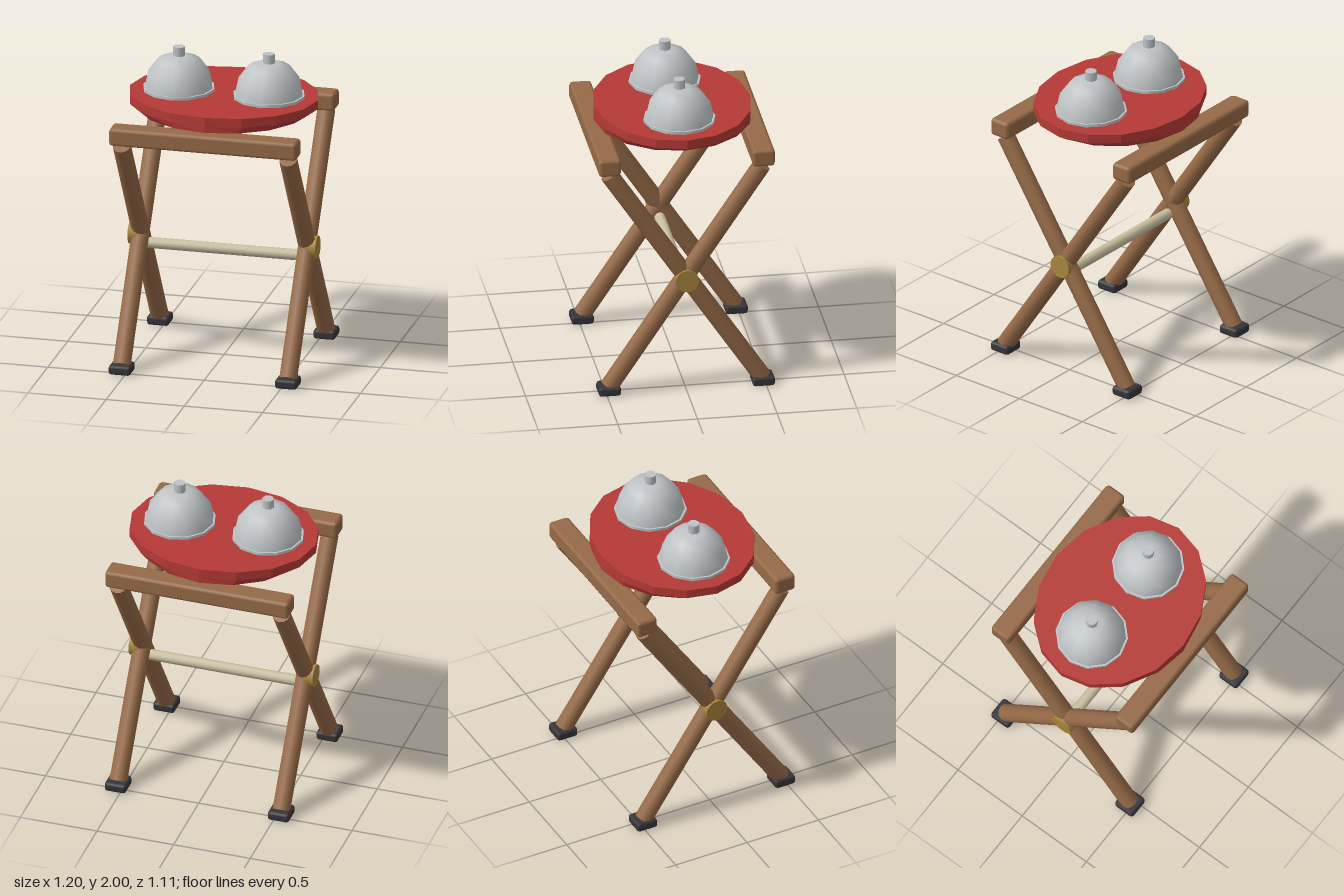
import * as THREE from 'three';
import { RoundedBoxGeometry } from 'three/addons/geometries/RoundedBoxGeometry.js';

const material = (name, color) => {
  const m = new THREE.MeshStandardMaterial({ color });
  m.name = name;
  return m;
};

export function createModel() {
  const wood = material('wood', 0x966a47);
  const red = material('red lacquer', 0xb53a35);
  const silver = material('silver', 0xbfc3c6);
  const brass = material('brass', 0xa9873d);
  const cream = material('cream', 0xc9c0a0);
  const rubber = material('rubber', 0x35353a);

  const model = new THREE.Group();
  model.name = 'foldingTrayStand';

  const add = (name, geometry, mat, x = 0, y = 0, z = 0, parent = model) => {
    const mesh = new THREE.Mesh(geometry, mat);
    mesh.name = name;
    mesh.position.set(x, y, z);
    parent.add(mesh);
    return mesh;
  };
  const lathe = (pairs, sides) =>
    new THREE.LatheGeometry(pairs.map(([r, y]) => new THREE.Vector2(r, y)), sides);

  // Top rails at front and back
  const railGeometry = new RoundedBoxGeometry(1.2, 0.115, 0.14, 1, 0.022);
  for (const s of [1, -1]) add(s > 0 ? 'frontRail' : 'backRail', railGeometry, wood, 0, 1.559, s * 0.483);

  // Crossed legs, feet and pivots on both sides
  const rise = 1.445, run = 0.96;
  const legGeometry = new THREE.CylinderGeometry(0.057, 0.057, Math.hypot(rise, run), 12);
  const footGeometry = new RoundedBoxGeometry(0.14, 0.06, 0.14, 1, 0.018);
  const pivotGeometry = new THREE.CylinderGeometry(0.073, 0.073, 0.07, 16).rotateZ(Math.PI / 2);
  for (const side of [1, -1]) {
    const name = side > 0 ? 'left' : 'right';
    for (const s of [1, -1]) {
      const end = s > 0 ? 'Front' : 'Back';
      add(`${name}${end}Leg`, legGeometry, wood, side * 0.532, 0.768, 0)
        .rotation.x = -s * Math.atan2(run, rise);
      add(`${name}${end}Foot`, footGeometry, rubber, side * 0.532, 0.035 - 0.005, s * 0.483);
    }
    add(`${name}Pivot`, pivotGeometry, brass, side * 0.565, 0.755, 0);
  }

  // Crossbar between the leg pairs
  add('crossbar', new THREE.CylinderGeometry(0.035, 0.035, 1.02, 12).rotateZ(Math.PI / 2), cream, 0, 0.695, 0);

  // Oval tray with its underside drawn in at the ends
  let tray = lathe([[0, 1.622], [1, 1.622], [1, 1.662], [1, 1.72], [0, 1.72]], 16);
  const p = tray.attributes.position;
  for (let i = 0; i < p.count; i++) {
    const inset = p.getY(i) < 1.64 ? 0.89 : 1;
    p.setX(i, p.getX(i) * 0.6 * inset);
    p.setZ(i, p.getZ(i) * 0.493);
  }
  tray = tray.toNonIndexed();
  tray.computeVertexNormals();
  add('tray', tray, red);

  // Two domed covers, each with a lip and a knob
  const lipGeometry = new THREE.CylinderGeometry(0.226, 0.226, 0.018, 12);
  const domeGeometry = lathe(
    [[0.214, 0.01], [0.213, 0.025], [0.195, 0.11], [0.133, 0.195], [0.07, 0.217], [0, 0.225]], 12);
  const knobGeometry = new THREE.CylinderGeometry(0.037, 0.037, 0.07, 8);
  for (const side of [1, -1]) {
    const cover = new THREE.Group();
    cover.name = side > 0 ? 'leftCover' : 'rightCover';
    cover.position.set(side * 0.288, 1.72, 0);
    add('lip', lipGeometry, silver, 0, 0.009, 0, cover);
    add('dome', domeGeometry, silver, 0, 0, 0, cover);
    add('knob', knobGeometry, silver, 0, 0.245, 0, cover);
    model.add(cover);
  }
  return model;
}
